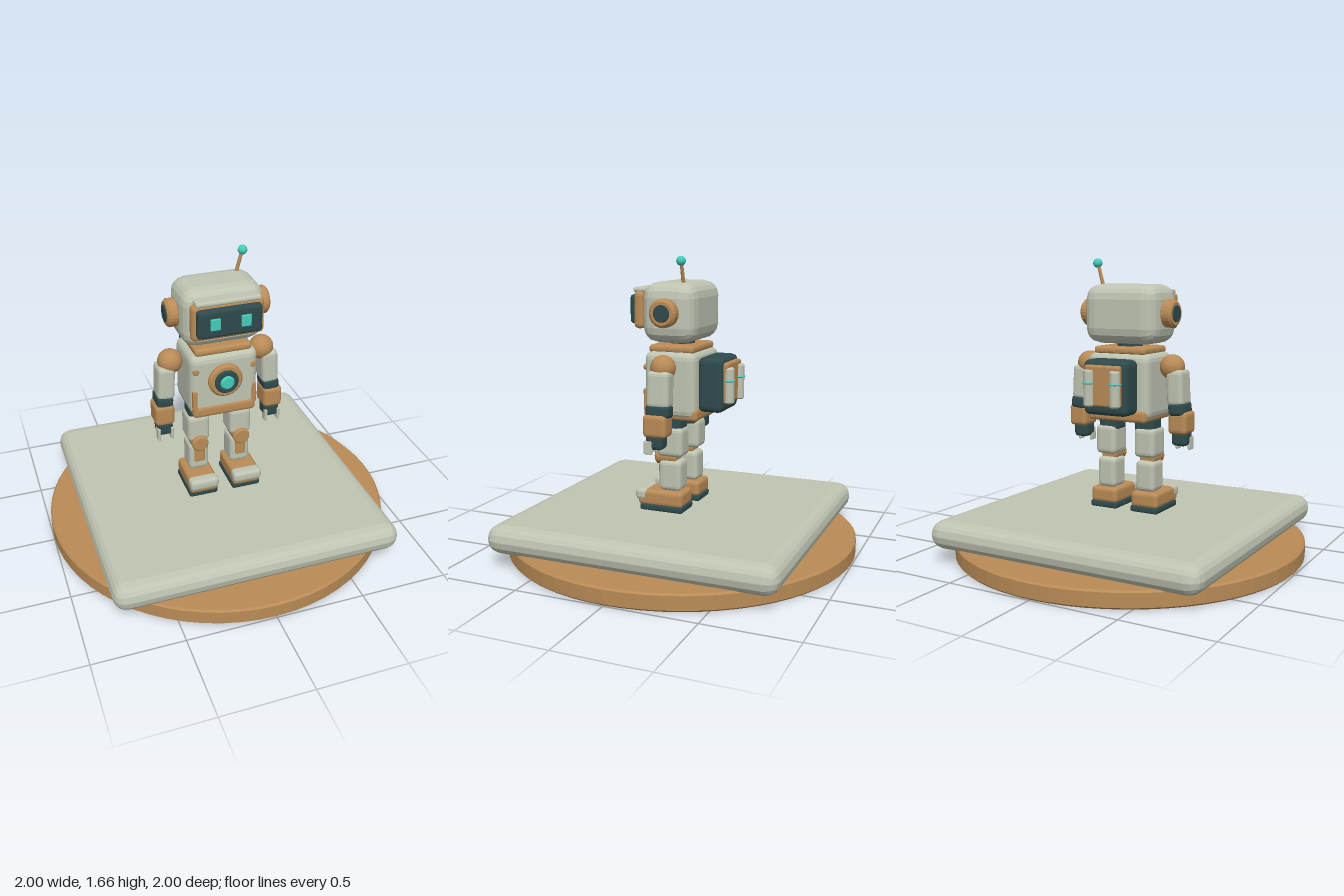
import * as THREE from 'three';
import { RoundedBoxGeometry } from 'three/addons/geometries/RoundedBoxGeometry.js';

function material(name, color) {
  const m = new THREE.MeshStandardMaterial({ color });
  m.name = name;
  return m;
}

export function createModel() {
  const shell = material('pale shell', 0xbfc4b2);
  const bronze = material('bronze', 0xb98b56);
  const dark = material('dark slate', 0x2f4a4c);
  const teal = material('glowing teal', 0x45cdb8);

  const model = new THREE.Group();
  model.name = 'robotOnStand';

  const group = (name, parent = model) => {
    const g = new THREE.Group();
    g.name = name;
    parent.add(g);
    return g;
  };
  const add = (parent, name, geometry, mat, [x, y, z]) => {
    const mesh = new THREE.Mesh(geometry, mat);
    mesh.name = name;
    mesh.position.set(x, y, z);
    parent.add(mesh);
    return mesh;
  };
  // Faceted rounded box
  const box = (parent, name, mat, [w, h, d], r, pos) => {
    const g = new RoundedBoxGeometry(w, h, d, 2, r);
    g.computeVertexNormals();
    return add(parent, name, g, mat, pos);
  };
  // Cylinder with bevelled rims, along y, z or x
  const disc = (parent, name, mat, r, h, bevel, pos, axis = 'y', sides = 24) => {
    const t = h / 2;
    // doubled points keep the rims crisp
    const pts = [[0, -t], [r - bevel, -t], [r - bevel, -t], [r, -t + bevel], [r, -t + bevel],
      [r, t - bevel], [r, t - bevel], [r - bevel, t], [r - bevel, t], [0, t]];
    const g = new THREE.LatheGeometry(pts.map(p => new THREE.Vector2(...p)), sides);
    const flat = g.toNonIndexed();
    flat.computeVertexNormals();
    const m = add(parent, name, flat, mat, pos);
    if (axis === 'z') m.rotation.x = Math.PI / 2;
    if (axis === 'x') m.rotation.z = -Math.PI / 2;
    return m;
  };

  // Stand
  const stand = group('stand');
  disc(stand, 'roundBase', bronze, 1, 0.095, 0.01, [0, 0.0475, 0], 'y', 64);
  box(stand, 'squareSlab', shell, [1.64, 0.16, 1.64], 0.078, [0, 0.16, 0]);

  // Head
  const head = group('head');
  box(head, 'headShell', shell, [0.46, 0.33, 0.315], 0.085, [0, 1.355, 0.003]);
  box(head, 'faceFrame', bronze, [0.405, 0.205, 0.06], 0.025, [0, 1.367, 0.178]);
  box(head, 'screen', dark, [0.36, 0.16, 0.07], 0.02, [0, 1.37, 0.205]);
  box(head, 'browVisor', shell, [0.36, 0.028, 0.075], 0.012, [0, 1.476, 0.18]);
  for (const s of [-1, 1]) {
    box(head, 'eye', teal, [0.055, 0.065, 0.016], 0.004, [s * 0.085, 1.372, 0.242]);
    const ear = group('ear', head);
    disc(ear, 'earCup', bronze, 0.078, 0.07, 0.014, [s * 0.255, 1.36, 0], 'x');
    disc(ear, 'earHub', dark, 0.047, 0.02, 0.004, [s * 0.286, 1.36, 0], 'x');
  }
  const antenna = group('antenna', head);
  const rod = add(antenna, 'antennaRod', new THREE.CylinderGeometry(0.009, 0.011, 0.16, 12),
    bronze, [0.15, 1.56, -0.065]);
  rod.rotation.z = -0.26;
  add(antenna, 'antennaTip', new THREE.SphereGeometry(0.026, 20, 14), teal, [0.172, 1.635, -0.065]);

  // Torso
  const torso = group('torso');
  disc(torso, 'neck', dark, 0.073, 0.08, 0.005, [0, 1.18, 0]);
  box(torso, 'collar', bronze, [0.325, 0.044, 0.265], 0.018, [0, 1.154, 0.002]);
  box(torso, 'chest', shell, [0.39, 0.37, 0.305], 0.045, [0, 0.957, 0]);
  box(torso, 'belt', bronze, [0.365, 0.072, 0.32], 0.022, [0, 0.797, 0]);
  disc(torso, 'chestRing', bronze, 0.098, 0.05, 0.012, [0, 0.985, 0.153], 'z', 32);
  disc(torso, 'chestDial', dark, 0.068, 0.05, 0.006, [0, 0.985, 0.168], 'z', 28);
  disc(torso, 'chestLight', teal, 0.04, 0.03, 0.008, [0, 0.985, 0.19], 'z');
  for (const s of [-1, 1]) {
    disc(torso, 'chestBolt', bronze, 0.018, 0.03, 0.005, [s * 0.165, 1.052, 0.143], 'z', 14);
    box(torso, 'beltStrap', bronze, [0.026, 0.125, 0.03], 0.008, [s * 0.172, 0.87, 0.143]);
  }

  // Backpack
  const pack = group('backpack');
  box(pack, 'packBody', dark, [0.276, 0.305, 0.15], 0.035, [0, 0.962, -0.216]);
  box(pack, 'packPanel', bronze, [0.22, 0.225, 0.04], 0.012, [0, 0.975, -0.295]);
  for (const s of [-1, 1]) {
    disc(pack, 'canister', shell, 0.03, 0.2, 0.008, [s * 0.082, 0.962, -0.311], 'y', 18);
    const band = add(pack, 'canisterBand', new THREE.TorusGeometry(0.031, 0.005, 8, 24),
      teal, [s * 0.082, 0.99, -0.311]);
    band.rotation.x = Math.PI / 2;
  }

  for (const s of [-1, 1]) {
    const side = s > 0 ? 'left' : 'right';

    // Arm
    const arm = group(side + 'Arm');
    add(arm, 'shoulder', new THREE.SphereGeometry(0.07, 24, 16), bronze, [s * 0.268, 1.067, 0]);
    const upper = box(arm, 'upperArm', shell, [0.098, 0.2, 0.13], 0.025, [s * 0.305, 0.955, 0.002]);
    upper.rotation.z = s * 0.05;
    const elbow = box(arm, 'elbow', dark, [0.093, 0.075, 0.137], 0.022, [s * 0.316, 0.838, 0.002]);
    elbow.rotation.z = s * 0.1;
    box(arm, 'forearm', bronze, [0.112, 0.127, 0.138], 0.024, [s * 0.322, 0.762, 0.01]);
    box(arm, 'hand', dark, [0.09, 0.085, 0.1], 0.022, [s * 0.32, 0.672, 0.018]);
    for (const f of [-1, 1]) {
      box(arm, 'finger', shell, [0.017, 0.075, 0.05], 0.007, [s * 0.322 + f * 0.038, 0.642, 0.05]);
    }

    // Leg
    const leg = group(side + 'Leg');
    const x = s * 0.125;
    box(leg, 'hip', dark, [0.12, 0.1, 0.125], 0.025, [x - s * 0.008, 0.735, 0]);
    box(leg, 'thigh', shell, [0.13, 0.17, 0.152], 0.028, [x, 0.636, 0.002]);
    disc(leg, 'knee', bronze, 0.049, 0.13, 0.008, [x, 0.545, 0.034], 'z');
    box(leg, 'shin', shell, [0.118, 0.175, 0.134], 0.026, [x, 0.443, 0.003]);
    box(leg, 'shinPlate', bronze, [0.064, 0.09, 0.03], 0.01, [x, 0.458, 0.064]);
    box(leg, 'sole', dark, [0.172, 0.04, 0.258], 0.014, [x + s * 0.006, 0.256, 0.043]);
    box(leg, 'foot', bronze, [0.168, 0.09, 0.268], 0.022, [x + s * 0.006, 0.311, 0.05]);
    box(leg, 'toeCap', shell, [0.172, 0.066, 0.075], 0.022, [x + s * 0.006, 0.327, 0.163]);
  }

  return model;
}
